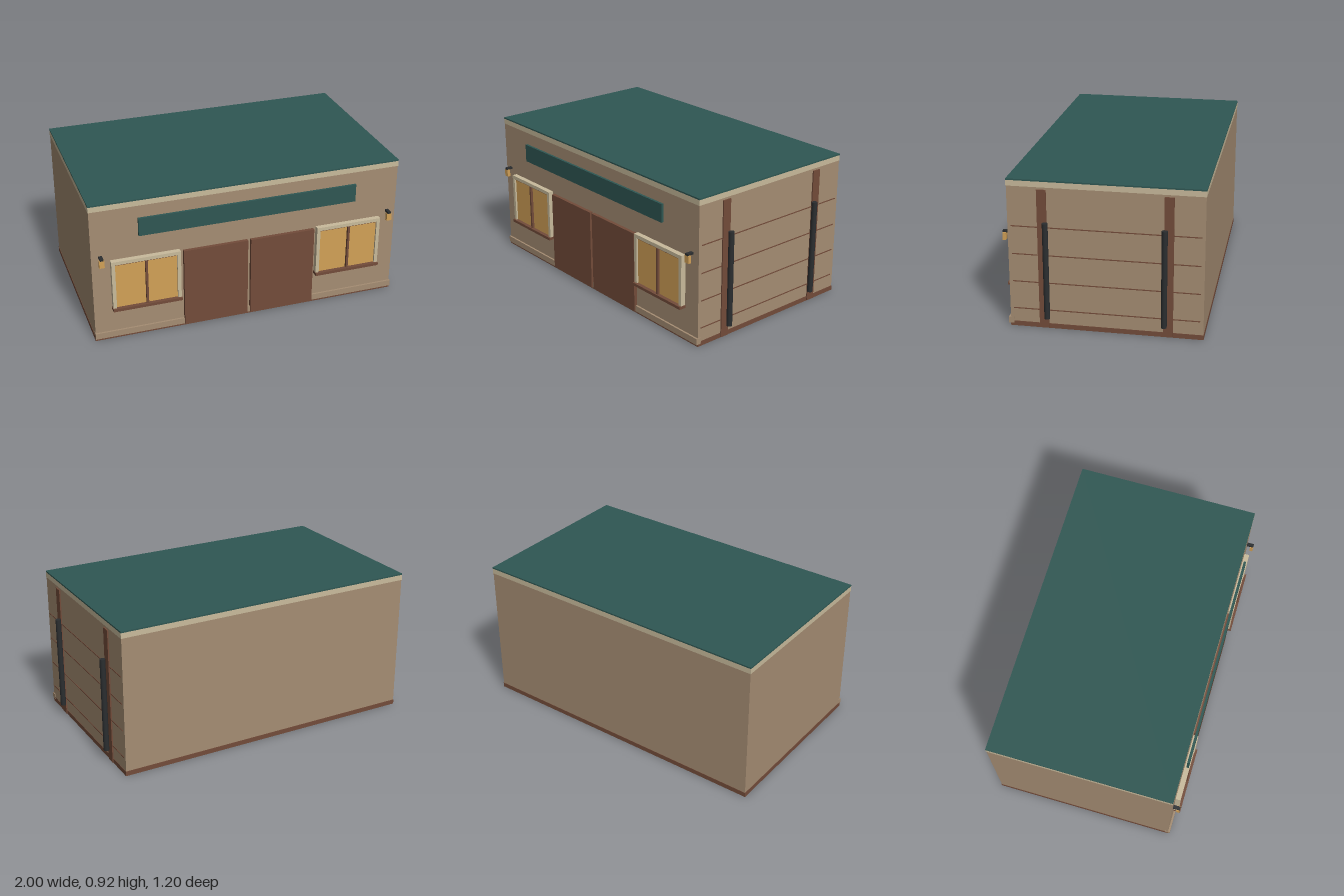
import * as THREE from 'three';

const mat = (color) => new THREE.MeshStandardMaterial({ color });
const WALL = mat(0xa58d73), TRIM = mat(0xc9bb9c), BROWN = mat(0x734c3a);
const GREEN = mat(0x2f5753), AMBER = mat(0xd2a157), DARK = mat(0x2b2e30);

// Box given by its lower and upper limits on each axis
function box(parent, name, material, [x0, x1], [y0, y1], [z0, z1]) {
  const mesh = new THREE.Mesh(new THREE.BoxGeometry(x1 - x0, y1 - y0, z1 - z0), material);
  mesh.position.set((x0 + x1) / 2, (y0 + y1) / 2, (z0 + z1) / 2);
  mesh.name = name;
  parent.add(mesh);
  return mesh;
}

// Framed two-pane window with a sill, centred on x = 0
function makeWindow() {
  const g = new THREE.Group();
  g.name = 'window';
  const w = 0.213, y0 = 0.215, y1 = 0.547, t = 0.022;
  box(g, 'glass', AMBER, [-w + t, w - t], [y0, y1 - t], [0.55, 0.576]);
  box(g, 'frameTop', TRIM, [-w, w], [y1 - t, y1], [0.55, 0.588]);
  for (const s of [-1, 1]) {
    const xs = [s * w, s * (w - t)].sort((a, b) => a - b);
    box(g, 'frameSide', TRIM, xs, [y0, y1 - t], [0.55, 0.588]);
  }
  box(g, 'mullion', BROWN, [-0.007, 0.007], [y0, y1 - t], [0.57, 0.592]);
  box(g, 'topRail', BROWN, [-w + t, w - t], [y1 - t - 0.006, y1 - t], [0.57, 0.582]);
  box(g, 'sill', BROWN, [-w - 0.002, w + 0.002], [0.21, 0.228], [0.55, 0.6]);
  return g;
}

// Small wall lamp under a dark bracket, centred on x = 0
function makeLamp() {
  const g = new THREE.Group();
  g.name = 'lamp';
  box(g, 'lampBody', AMBER, [-0.016, 0.016], [0.527, 0.574], [0.58, 0.6]);
  box(g, 'lampBracket', DARK, [-0.011, 0.011], [0.573, 0.586], [0.556, 0.6]);
  return g;
}

export function createModel() {
  const group = new THREE.Group();
  const X = [-1, 0.96], Z = [-0.597, 0.558], CX = -0.02;

  // Building shell
  box(group, 'base', BROWN, X, [0, 0.03], Z);
  box(group, 'walls', WALL, [-0.998, 0.958], [0.03, 0.88], [-0.595, 0.556]);
  box(group, 'fascia', TRIM, X, [0.88, 0.914], Z);
  box(group, 'roof', GREEN, X, [0.914, 0.923], Z);
  box(group, 'frontPlinth', WALL, [-1, 0.962], [0.016, 0.055], [0.536, 0.568]);

  // Front doors and sign board
  box(group, 'doorRight', BROWN, [-0.438, -0.03], [0.018, 0.537], [0.55, 0.578]);
  box(group, 'doorLeft', BROWN, [-0.011, 0.404], [0.018, 0.537], [0.55, 0.578]);
  box(group, 'signBoard', GREEN, [-0.712, 0.668], [0.694, 0.809], [0.57, 0.585]);

  // Mirrored windows and lamps
  for (const s of [-1, 1]) {
    const win = makeWindow();
    win.position.x = CX + s * 0.653;
    const lamp = makeLamp();
    lamp.position.x = CX + s * 0.923;
    group.add(win, lamp);
  }

  // Side wall: cladding seams, posts and drain pipes
  for (let i = 0; i < 4; i++) {
    const y = 0.116 + i * 0.1733;
    box(group, 'claddingSeam', BROWN, [0.95, 0.961], [y - 0.003, y + 0.003], [-0.575, 0.535]);
  }
  for (const z of [0.35, -0.389]) {
    box(group, 'post', BROWN, [0.95, 0.966], [0.003, 0.867], [z - 0.028, z + 0.028]);
  }
  for (const z of [0.328, -0.366]) {
    const pipe = new THREE.Mesh(new THREE.CylinderGeometry(0.0175, 0.0175, 0.6, 12), DARK);
    pipe.position.set(0.981, 0.371, z);
    pipe.name = 'drainPipe';
    group.add(pipe);
  }
  return group;
}
